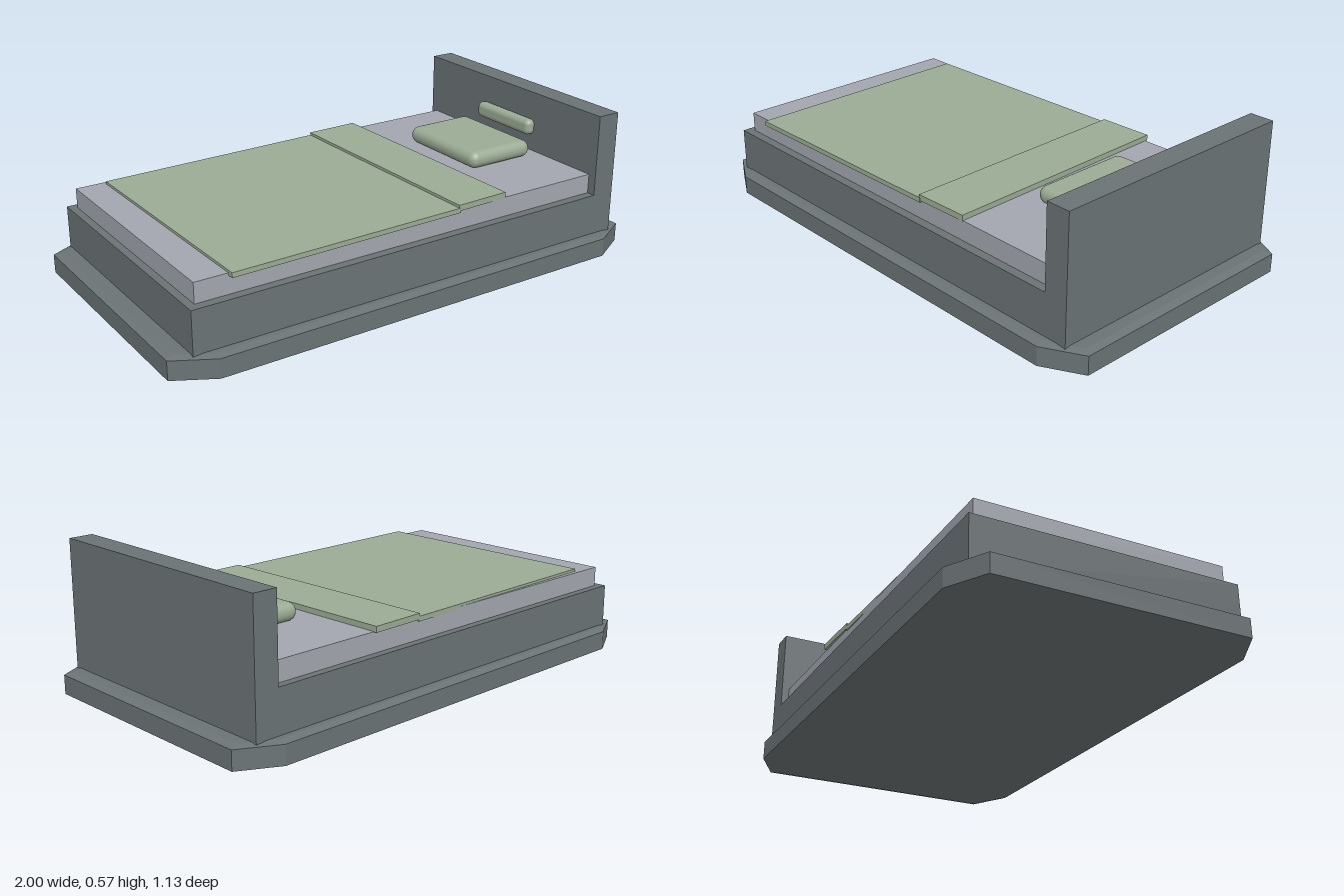
import * as THREE from 'three';
import { RoundedBoxGeometry } from 'three/addons/geometries/RoundedBoxGeometry.js';

const material = (name, color) => {
  const m = new THREE.MeshStandardMaterial({ color });
  m.name = name;
  return m;
};

export function createModel() {
  const group = new THREE.Group();
  const slate = material('slate grey frame', 0x6b7375);
  const sheet = material('pale grey mattress', 0xa3a6af);
  const green = material('sage green bedding', 0x9bab94);

  const add = (name, geometry, mat) => {
    const mesh = new THREE.Mesh(geometry, mat);
    mesh.name = name;
    group.add(mesh);
    return mesh;
  };

  // Box between two corners
  const box = (name, mat, [x0, y0, z0], [x1, y1, z1], radius = 0) => {
    const size = [x1 - x0, y1 - y0, z1 - z0];
    const geometry = radius
      ? new RoundedBoxGeometry(...size, 4, radius)
      : new THREE.BoxGeometry(...size);
    add(name, geometry, mat).position.set((x0 + x1) / 2, (y0 + y1) / 2, (z0 + z1) / 2);
  };

  // Flat slab from an x/z outline, with optional sloped rims
  const slab = (name, mat, outline, y0, y1, rim = 0, rimHeight = 0) => {
    const shape = new THREE.Shape(outline.map(([x, z]) => new THREE.Vector2(x, z)));
    const geometry = new THREE.ExtrudeGeometry(shape, {
      depth: y1 - y0 - 2 * rimHeight,
      bevelEnabled: rim > 0,
      bevelSize: rim,
      bevelOffset: -rim,
      bevelThickness: rimHeight,
      bevelSegments: 1,
    });
    geometry.rotateX(Math.PI / 2).translate(0, y1 - rimHeight, 0);
    add(name, geometry, mat);
  };

  // Plinth with cut corners
  slab('plinth', slate, [
    [-1, -0.485], [-0.85, -0.567], [0.85, -0.567], [1, -0.485],
    [1, 0.485], [0.85, 0.567], [-0.85, 0.567], [-1, 0.485],
  ], 0, 0.087, 0.03, 0.007);

  // Bed body
  box('bedFrame', slate, [-0.92, 0.08, -0.515], [0.84, 0.25, 0.515]);
  box('mattress', sheet, [-0.89, 0.25, -0.485], [0.835, 0.327, 0.48]);
  box('headboard', slate, [0.83, 0.08, -0.515], [0.925, 0.572, 0.515]);

  // Slightly crooked blanket and its folded band
  slab('blanket', green, [
    [-0.775, -0.467], [0.165, -0.49], [0.185, 0.49], [-0.763, 0.505],
  ], 0.318, 0.337);
  slab('blanketFold', green, [
    [0.16, -0.49], [0.38, -0.496], [0.402, 0.482], [0.18, 0.488],
  ], 0.325, 0.348);

  // Pillow and padded rest on the headboard
  box('pillow', green, [0.475, 0.327, -0.215], [0.775, 0.396, 0.205], 0.033);
  box('headRest', green, [0.792, 0.396, -0.165], [0.84, 0.461, 0.157], 0.022);

  return group;
}
